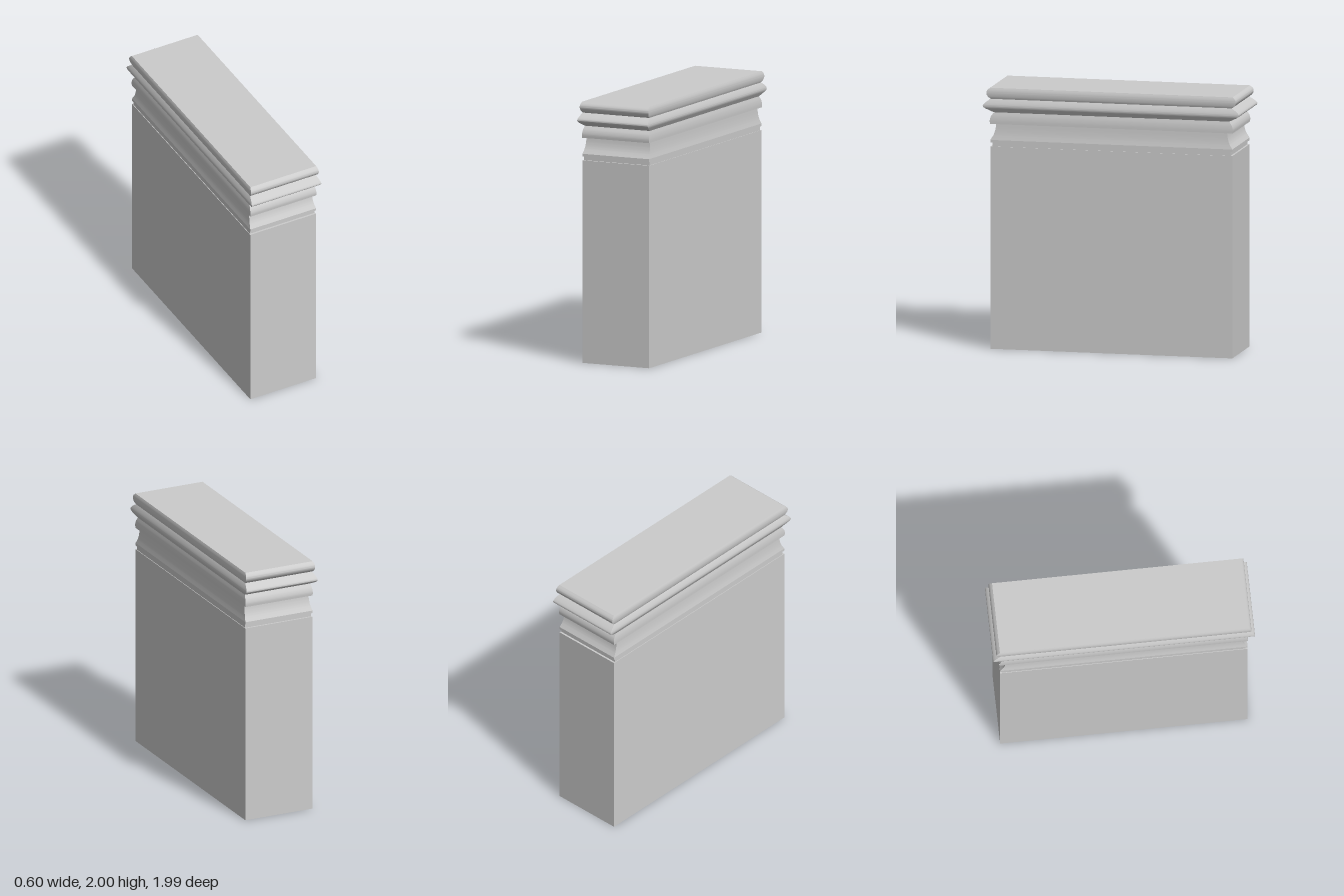
import * as THREE from 'three';
import { toCreasedNormals } from 'three/addons/utils/BufferGeometryUtils.js';

const WIDTH_RATIO = 0.3; // width relative to depth
const material = new THREE.MeshStandardMaterial({ color: 0xcccccc });

// Smooth moulding curve through a few [half depth, height] points
const curve = (points, steps = 20) =>
  new THREE.SplineCurve(points.map(([r, y]) => new THREE.Vector2(r, y)))
    .getPoints(steps).map((p) => [p.x, p.y]);

// Sweeps a profile around the four mitred sides of the block
function band(name, profile) {
  const points = profile.map(([r, y]) => new THREE.Vector2(r * Math.SQRT2, y));
  const lathe = new THREE.LatheGeometry(points, 4, Math.PI / 4);
  lathe.scale(WIDTH_RATIO, 1, 1);
  const mesh = new THREE.Mesh(toCreasedNormals(lathe, 0.6), material);
  mesh.name = name;
  return mesh;
}

export function createModel() {
  const group = new THREE.Group();
  group.name = 'pierCapital';

  group.add(
    // plain block with closed base
    band('shaft', [[0, 0], [0.94, 0], [0.94, 1.55], [0.925, 1.55]]),
    // recessed line and the fillet over it
    band('groove', [[0.925, 1.55], [0.925, 1.58]]),
    band('neckFillet', [[0.925, 1.58], [0.94, 1.58], [0.94, 1.6]]),
    // concave neck
    band('coveNeck', curve([[0.94, 1.6], [0.916, 1.64], [0.903, 1.68], [0.897, 1.723]])),
    // three stacked convex mouldings
    band('lowerMoulding', [
      [0.897, 1.723], [0.94, 1.723],
      ...curve([[0.942, 1.723], [0.944, 1.752], [0.935, 1.782], [0.914, 1.812]]),
    ]),
    band('middleMoulding', curve([
      [0.914, 1.812], [0.955, 1.832], [0.985, 1.848], [0.995, 1.863],
      [0.985, 1.88], [0.96, 1.9], [0.935, 1.915],
    ], 36)),
    band('topMoulding', [
      ...curve([
        [0.935, 1.915], [0.957, 1.932], [0.969, 1.957], [0.963, 1.98], [0.942, 2],
      ], 24),
      [0, 2],
    ]),
  );
  return group;
}
